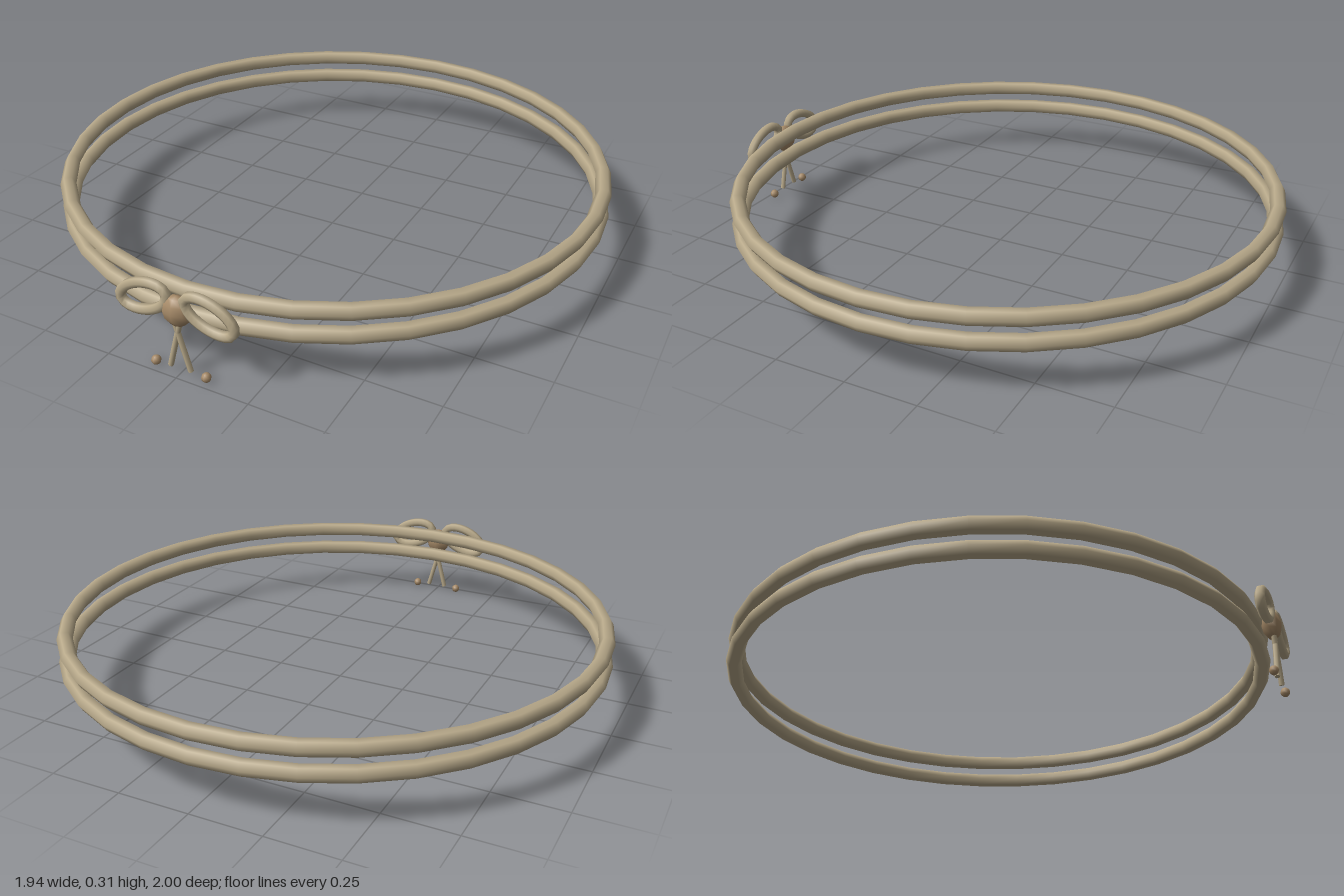
import * as THREE from 'three';

const BOW_Z = 0.972;

export function createModel() {
  const model = new THREE.Group();
  const band = new THREE.MeshStandardMaterial({ name: 'paleBronze', color: 0xb8a98a });
  const accent = new THREE.MeshStandardMaterial({ name: 'warmBronze', color: 0xa68a68 });

  const add = (name, geometry, material, x, y, z) => {
    const mesh = new THREE.Mesh(geometry, material);
    mesh.name = name;
    mesh.position.set(x, y, z);
    model.add(mesh);
    return mesh;
  };

  // Two stacked hoops with a six-sided section
  const hoop = new THREE.TorusGeometry(0.943, 0.027, 6, 36).rotateX(Math.PI / 2);
  add('upperHoop', hoop, band, 0, 0.266, -0.03);
  add('lowerHoop', hoop, band, 0, 0.183, -0.03);

  // Closed oval path for a bow loop
  class Oval extends THREE.Curve {
    getPoint(t, target = new THREE.Vector3()) {
      const a = t * Math.PI * 2;
      return target.set(0.088 * Math.cos(a), 0.046 * Math.sin(a), 0);
    }
  }
  const loop = new THREE.TubeGeometry(new Oval(), 24, 0.017, 6, true);
  const up = new THREE.Vector3(0, 1, 0);

  for (const [side, s] of [['left', 1], ['right', -1]]) {
    // Drooping bow loop
    add(side + 'BowLoop', loop, band, s * 0.114, 0.245, BOW_Z).rotation.z = -s * 0.35;

    // Ribbon tail, crossing just under the knot
    const top = new THREE.Vector3(-s * 0.01, 0.19, BOW_Z);
    const end = new THREE.Vector3(s * 0.036, 0.02, BOW_Z);
    const dir = top.clone().sub(end);
    const mid = top.clone().add(end).multiplyScalar(0.5);
    const tail = add(side + 'Tail', new THREE.CylinderGeometry(0.009, 0.009, dir.length(), 6),
      band, mid.x, mid.y, mid.z);
    tail.quaternion.setFromUnitVectors(up, dir.normalize());

    // Small bead beside the tail end
    add(side + 'Bead', new THREE.SphereGeometry(0.016, 8, 6), accent, s * 0.09, 0.018, BOW_Z);
  }

  // Flattened knot in the middle of the bow
  add('knot', new THREE.SphereGeometry(1, 8, 6), accent, 0, 0.227, 0.968)
    .scale.set(0.05, 0.052, 0.033);

  return model;
}
